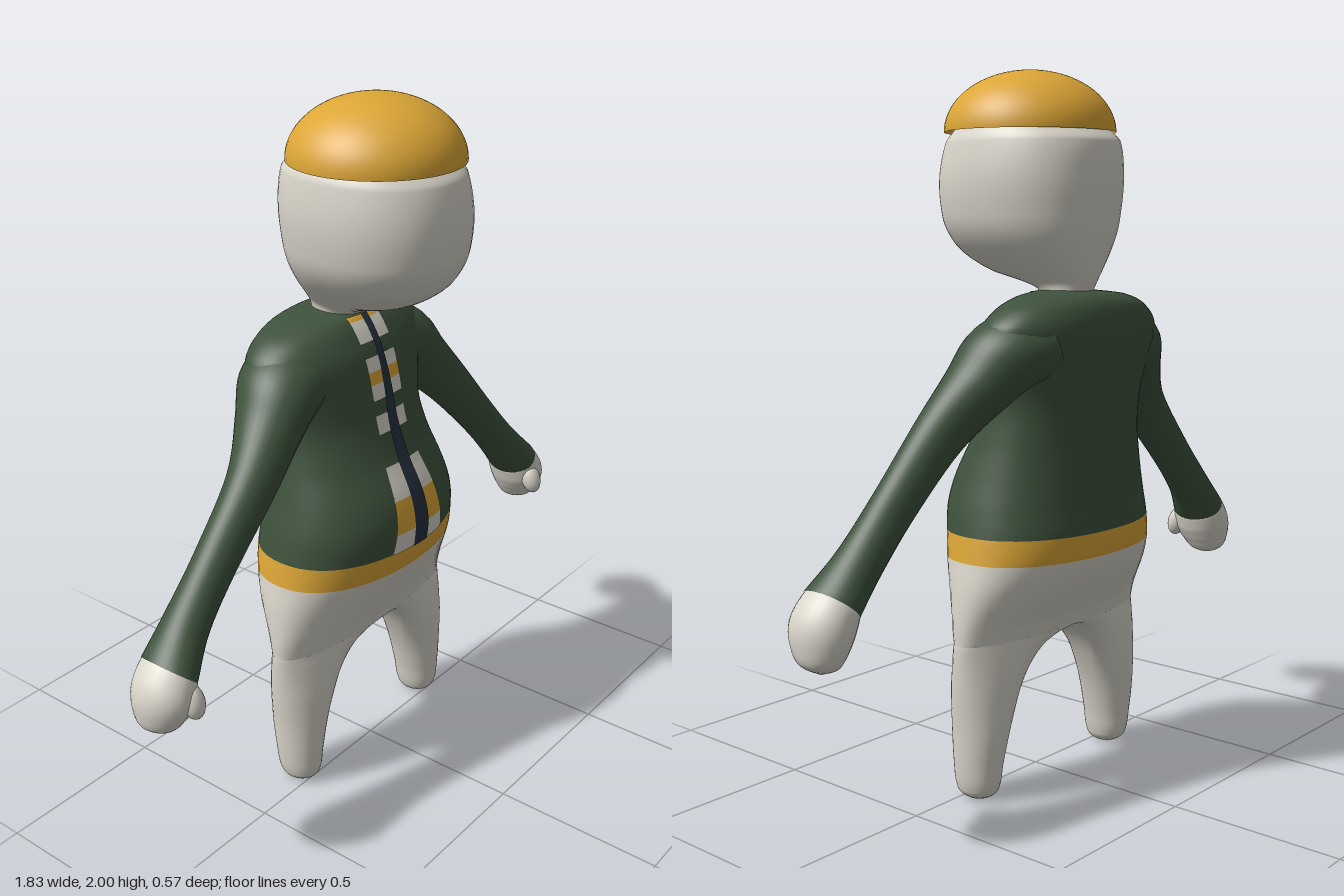
import * as THREE from 'three';

const mat = (name, color, side = THREE.FrontSide) => {
  const m = new THREE.MeshStandardMaterial({ color, side });
  m.name = name;
  return m;
};

// Smooth interpolation of key rows; the first number of each row is the parameter
function sample(keys, t) {
  let i = 0;
  while (i < keys.length - 2 && t > keys[i + 1][0]) i++;
  const a = keys[i], b = keys[i + 1], p = keys[Math.max(i - 1, 0)], q = keys[Math.min(i + 2, keys.length - 1)];
  const h = b[0] - a[0], u = Math.min(Math.max((t - a[0]) / h, 0), 1), u2 = u * u, u3 = u2 * u;
  return a.map((v, k) => {
    const ma = (b[k] - p[k]) / (b[0] - p[0]) * h, mb = (q[k] - v) / (q[0] - a[0]) * h;
    return (2 * u3 - 3 * u2 + 1) * v + (u3 - 2 * u2 + u) * ma + (3 * u2 - 2 * u3) * b[k] + (u3 - u2) * mb;
  });
}

// Parameters of all rows: each key interval is divided into equal steps
const steps = (keys, n) => keys.slice(0, -1).flatMap((k, i) =>
  Array.from({ length: n }, (_, j) => k[0] + (keys[i + 1][0] - k[0]) * j / n)).concat(keys[keys.length - 1][0]);

// Skin over closed rings; pick(row) gives the material index of a band
function loft(rows, ringPoint, sides, pick) {
  const pos = [], index = [], g = new THREE.BufferGeometry();
  rows.forEach((t) => {
    for (let j = 0; j < sides; j++) pos.push(...ringPoint(t, j / sides * Math.PI * 2));
  });
  for (let i = 0; i < rows.length - 1; i++) {
    if (pick) g.addGroup(index.length, sides * 6, pick((rows[i] + rows[i + 1]) / 2));
    for (let j = 0; j < sides; j++) {
      const a = i * sides + j, c = i * sides + (j + 1) % sides, b = a + sides, d = c + sides;
      index.push(a, b, c, b, d, c);
    }
  }
  g.setAttribute('position', new THREE.Float32BufferAttribute(pos, 3));
  g.setIndex(index);
  g.computeVertexNormals();
  return g;
}

// Upright rounded section from [y, halfWidth, zFront, zBack]
const ROUND = 2.2;
const power = (v) => Math.sign(v) * Math.abs(v) ** (2 / ROUND);
const upright = (keys) => (y, a) => {
  const [, w, zf, zb] = sample(keys, y);
  return [w * power(Math.cos(a)), y, (zf + zb) / 2 + (zf - zb) / 2 * power(Math.sin(a))];
};

// Limb section from [t, x, y, z, radius, depthRadius], square to its path
const limb = (keys) => (t, a) => {
  const e = 0.01, p = sample(keys, t), q = sample(keys, t + e), o = sample(keys, t - e);
  const dx = q[1] - o[1], dy = q[2] - o[2], l = Math.hypot(dx, dy) || 1, r = p[4] * Math.cos(a);
  return [p[1] + dy / l * r, p[2] - dx / l * r, p[3] + p[5] * Math.sin(a)];
};

// Leg section from [y, xInner, xOuter, zFront, zBack, merge]; merge turns it into half of the hips
const leg = (keys) => (y, a) => {
  const [, xi, xo, zf, zb, m] = sample(keys, y);
  const x = (xi + xo) / 2 + (xo - xi) / 2 * Math.cos(a), s = Math.sin(a);
  const half = Math.abs(s) < 1e-6 ? 0 : Math.sign(s) * Math.max(0, 1 - (x / xo) ** ROUND) ** (1 / ROUND);
  return [x, y, (zf + zb) / 2 + (zf - zb) / 2 * (s * (1 - m) + half * m)];
};

function mirrored(geo) {
  const g = geo.clone().scale(-1, 1, 1), ix = g.index.array;
  for (let i = 0; i < ix.length; i += 3) [ix[i], ix[i + 1]] = [ix[i + 1], ix[i]];
  g.computeVertexNormals();
  return g;
}

const BODY = [
  [0.45, 0.375, 0.055, -0.145], [0.5, 0.374, 0.075, -0.168], [0.6, 0.364, 0.125, -0.235],
  [0.675, 0.35, 0.16, -0.27], [0.745, 0.338, 0.175, -0.277], [0.82, 0.322, 0.18, -0.272],
  [0.9, 0.3, 0.16, -0.268], [1.0, 0.275, 0.11, -0.265], [1.1, 0.263, 0.075, -0.272],
  [1.2, 0.288, 0.055, -0.282], [1.29, 0.328, 0.03, -0.28], [1.35, 0.28, 0, -0.266],
  [1.385, 0.19, -0.025, -0.236], [1.4, 0.06, -0.04, -0.18],
];
const HEAD = [
  [1.36, 0.07, -0.04, -0.18], [1.4, 0.068, -0.03, -0.19], [1.42, 0.078, 0.025, -0.2],
  [1.45, 0.115, 0.135, -0.21], [1.5, 0.168, 0.22, -0.222], [1.55, 0.203, 0.258, -0.233],
  [1.6, 0.22, 0.276, -0.24], [1.7, 0.23, 0.282, -0.248], [1.8, 0.218, 0.262, -0.24],
  [1.83, 0.205, 0.235, -0.212], [1.88, 0.17, 0.18, -0.15], [1.91, 0, 0.02, 0.02],
];
const LEG = [
  [0, 0.29, 0.292, -0.035, -0.037, 0], [0.006, 0.258, 0.325, 0, -0.075, 0], [0.03, 0.239, 0.347, 0.024, -0.1, 0],
  [0.1, 0.228, 0.357, 0.033, -0.112, 0], [0.2, 0.206, 0.363, 0.042, -0.127, 0.05], [0.3, 0.17, 0.371, 0.05, -0.136, 0.2],
  [0.36, 0.138, 0.374, 0.052, -0.14, 0.4], [0.41, 0.095, 0.376, 0.053, -0.142, 0.65],
  [0.44, 0.045, 0.376, 0.054, -0.144, 0.9], [0.45, 0, 0.375, 0.055, -0.145, 1],
];
const ARM = [
  [0, 0.2, 1.25, -0.125, 0.11, 0.135], [1, 0.27, 1.22, -0.11, 0.105, 0.125], [2, 0.34, 1.15, -0.085, 0.087, 0.1],
  [3, 0.45, 1.035, -0.05, 0.072, 0.07], [4, 0.6, 0.88, -0.042, 0.062, 0.06], [5, 0.72, 0.752, -0.038, 0.06, 0.066],
  [6, 0.807, 0.654, -0.025, 0.066, 0.088],
];
const HAND = [
  [0, 0.795, 0.668, -0.025, 0.056, 0.075], [1, 0.81, 0.65, -0.025, 0.066, 0.088], [2, 0.836, 0.6, -0.022, 0.074, 0.093],
  [3, 0.848, 0.55, -0.025, 0.064, 0.08], [4, 0.851, 0.51, -0.03, 0.044, 0.053], [5, 0.853, 0.49, -0.033, 0, 0],
];

// Thin patch lying on the jacket front
function frontPatch(y0, y1, halfWidth, lift) {
  const g = new THREE.PlaneGeometry(1, 1, 8, Math.ceil((y1 - y0) / 0.012));
  const p = g.attributes.position;
  for (let i = 0; i < p.count; i++) {
    const y = y0 + (p.getY(i) + 0.5) * (y1 - y0), x = 2 * p.getX(i) * halfWidth(y);
    const [, w, zf, zb] = sample(BODY, y);
    const k = Math.max(0, 1 - Math.abs(x / w) ** ROUND) ** (1 / ROUND);
    p.setXYZ(i, x, y + (y > 1.3 ? lift * 0.5 : 0), (zf + zb) / 2 + (zf - zb) / 2 * k + lift);
  }
  g.computeVertexNormals();
  return g;
}

export function createModel() {
  const model = new THREE.Group();
  const cream = mat('cream', 0xd9d5ca), green = mat('dark green', 0x3e523c);
  const gold = mat('gold', 0xdca636, THREE.DoubleSide), navy = mat('navy', 0x27313f);
  const add = (name, geo, material) => {
    const m = new THREE.Mesh(geo, material);
    m.name = name;
    model.add(m);
  };
  const pair = (name, geo, material) => {
    add(name + 'Left', geo, material);
    add(name + 'Right', mirrored(geo), material);
  };

  // Hips, belt and jacket share one skin
  add('body', loft(steps(BODY, 5), upright(BODY), 56, (y) => (y < 0.675 ? 0 : y < 0.745 ? 1 : 2)), [cream, gold, green]);
  add('head', loft(steps(HEAD, 5), upright(HEAD), 48), cream);
  pair('leg', loft(steps(LEG, 4), leg(LEG), 36), cream);
  pair('sleeve', loft(steps(ARM, 6), limb(ARM), 32), green);
  pair('hand', loft(steps(HAND, 5), limb(HAND), 28), cream);

  // Thumbs
  const thumb = new THREE.SphereGeometry(1, 20, 14).scale(0.032, 0.05, 0.032);
  thumb.rotateX(-0.35).translate(0.808, 0.592, 0.055);
  pair('thumb', thumb, cream);

  // Open dome cap
  const cap = new THREE.SphereGeometry(1, 48, 20, 0, Math.PI * 2, 0, Math.PI / 2);
  add('cap', cap.scale(0.24, 0.17, 0.24).translate(0, 1.83, 0.02), gold);

  // Striped jacket front with zip
  const panelWidth = (y) => 0.065 + 0.05 * Math.max(0, (1.06 - y) / 0.315);
  const zipWidth = (y) => 0.013 + 0.018 * Math.min(1, Math.max(0, (1.3 - y) / 0.5));
  const stripes = [
    [1.325, 1.38, cream], [1.38, 1.392, gold], [1.25, 1.29, cream], [1.215, 1.25, gold], [1.17, 1.215, cream],
    [1.075, 1.13, cream], [0.9, 0.99, cream], [0.805, 0.9, gold], [0.745, 0.805, cream],
  ];
  stripes.forEach(([y0, y1, m], i) => add('stripe' + (i + 1), frontPatch(y0, y1, panelWidth, 0.004), m));
  add('zip', frontPatch(0.745, 1.392, zipWidth, 0.007), navy);

  return model;
}
